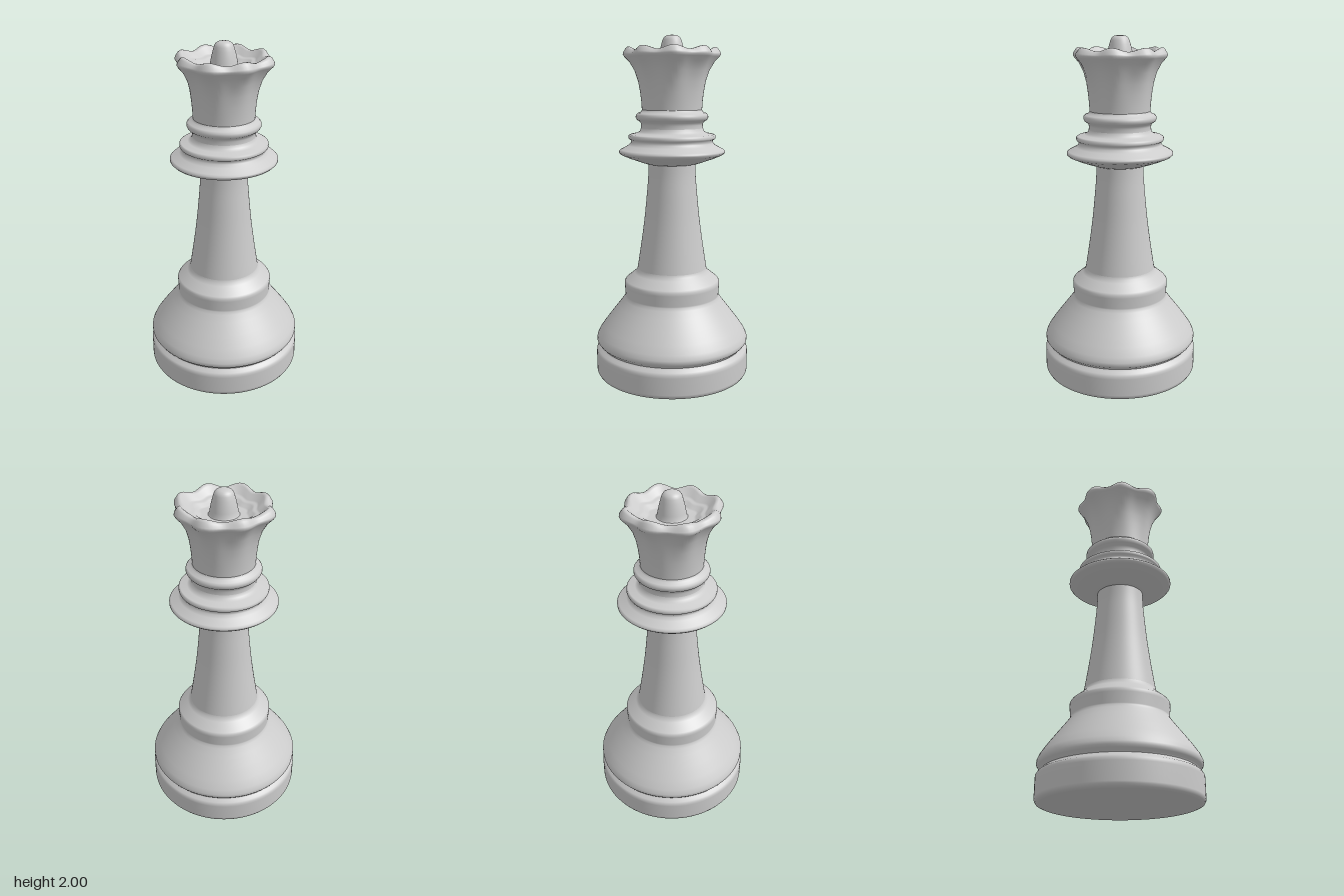
import * as THREE from 'three';
import { mergeVertices } from 'three/addons/utils/BufferGeometryUtils.js';

const SEGMENTS = 96;

export function createModel() {
  const group = new THREE.Group();
  group.name = 'chessQueen';
  const lightGrey = new THREE.MeshStandardMaterial({ color: 0xcccccc });
  lightGrey.name = 'lightGrey';

  const lathe = (pts) => new THREE.LatheGeometry(pts.map(([r, y]) => new THREE.Vector2(r, y)), SEGMENTS);
  const add = (name, geometry) => {
    const mesh = new THREE.Mesh(geometry, lightGrey);
    mesh.name = name;
    group.add(mesh);
  };

  // Flat foot disc with rounded edges and the groove above it
  add('foot', lathe([[0, 0], [0.43, 0], [0.435, 0.001], [0.45, 0.007], [0.457, 0.02], [0.458, 0.03],
    [0.458, 0.13], [0.457, 0.145], [0.45, 0.158], [0.435, 0.168], [0.428, 0.178]]));

  // Bell-shaped base with the shoulder band
  add('base', lathe([[0.428, 0.178], [0.432, 0.186], [0.446, 0.197], [0.454, 0.21], [0.453, 0.228],
    [0.44, 0.256], [0.41, 0.3], [0.365, 0.36], [0.32, 0.418], [0.29, 0.458], [0.281, 0.474],
    [0.28, 0.482], [0.284, 0.545], [0.284, 0.562], [0.276, 0.574], [0.225, 0.615], [0.211, 0.63], [0.206, 0.645]]));

  // Tapering stem
  const taper = new THREE.SplineCurve([[0.206, 0.645], [0.182, 0.8], [0.162, 0.95], [0.147, 1.1],
    [0.139, 1.2], [0.137, 1.28]].map(([r, y]) => new THREE.Vector2(r, y)));
  add('stem', new THREE.LatheGeometry(taper.getPoints(20), SEGMENTS));

  // Wide collar with a smaller step on top
  add('collar', lathe([[0.13, 1.266], [0.15, 1.269], [0.185, 1.28], [0.25, 1.303], [0.297, 1.323],
    [0.308, 1.334], [0.308, 1.344], [0.298, 1.353], [0.255, 1.375], [0.24, 1.39], [0.237, 1.405],
    [0.25, 1.413], [0.253, 1.42], [0.252, 1.433], [0.243, 1.439], [0.205, 1.447], [0.187, 1.457], [0.18, 1.475]]));

  // Neck and its ring
  add('neckRing', lathe([[0.18, 1.475], [0.178, 1.495], [0.184, 1.51], [0.203, 1.523], [0.21, 1.536],
    [0.209, 1.55], [0.2, 1.56], [0.18, 1.568], [0.174, 1.58]]));

  // Crown: eight-lobed cup; each row is radius, height, lobe depth, lobe lift
  const rows = [[0.174, 1.58, 0, 0], [0.176, 1.62, 0, 0], [0.182, 1.68, 0.001, 0], [0.191, 1.74, 0.003, 0],
    [0.207, 1.8, 0.007, 0], [0.232, 1.85, 0.012, 0], [0.256, 1.878, 0.016, 0], [0.263, 1.89, 0.017, 0.001],
    [0.261, 1.9, 0.017, 0.003], [0.247, 1.918, 0.016, 0.008], [0.238, 1.924, 0.015, 0.01],
    [0.226, 1.924, 0.015, 0.01], [0.215, 1.917, 0.015, 0.008], [0.186, 1.889, 0.014, 0.004],
    [0.175, 1.884, 0.013, 0.003], [0.164, 1.883, 0.013, 0.003], [0.152, 1.878, 0.011, 0.002],
    [0.132, 1.863, 0.009, 0], [0.12, 1.86, 0.008, 0], [0.07, 1.86, 0, 0]];
  let crown = lathe(rows);
  const pos = crown.attributes.position;
  for (let i = 0; i < pos.count; i++) {
    const [r, y, depth, lift] = rows[i % rows.length];
    const angle = Math.floor(i / rows.length) % SEGMENTS / SEGMENTS * Math.PI * 2;
    const wave = Math.cos(8 * angle);
    const radius = r + depth * (0.7 * wave - 0.3 * Math.cos(4 * angle));
    pos.setXYZ(i, Math.sin(angle) * radius, y + lift * wave, Math.cos(angle) * radius);
  }
  // Weld the seam so the shading is continuous
  crown.deleteAttribute('normal');
  crown.deleteAttribute('uv');
  crown = mergeVertices(crown);
  crown.computeVertexNormals();
  add('crown', crown);

  // Domed finial in the middle of the crown
  add('finial', lathe([[0.085, 1.858], [0.078, 1.866], [0.074, 1.89], [0.067, 1.925], [0.06, 1.95],
    [0.054, 1.972], [0.046, 1.987], [0.032, 1.996], [0.016, 1.999], [0, 2]]));

  return group;
}
